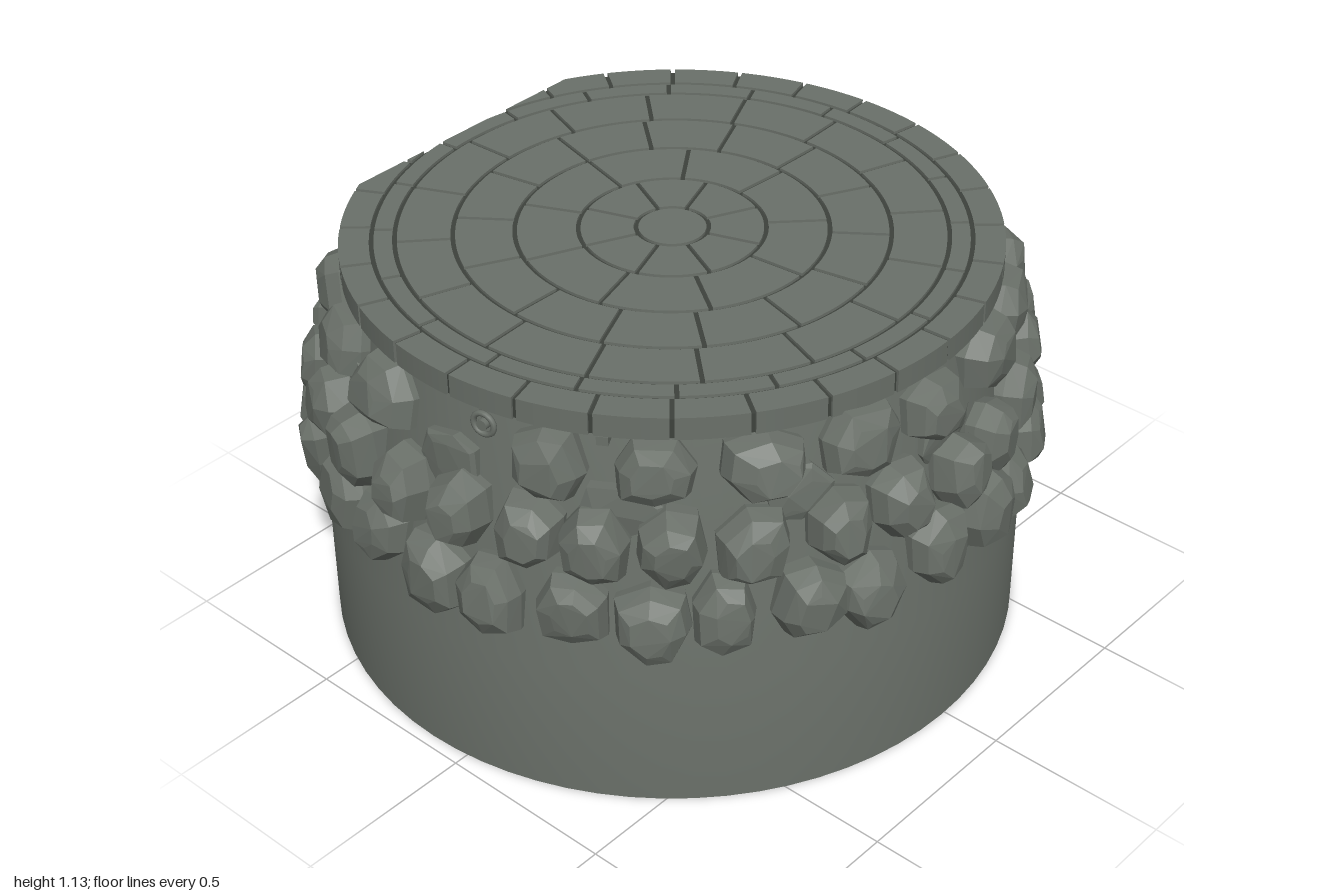
import * as THREE from 'three';
import { toCreasedNormals } from 'three/addons/utils/BufferGeometryUtils.js';
import { ConvexGeometry } from 'three/addons/geometries/ConvexGeometry.js';

const CX = -0.12, CZ = 0.015; // axis of the round platform
const CUT = -0.89;            // flat side plane
const rad = THREE.MathUtils.degToRad;

let seed = 7;
function rnd(a, b) {
  seed = (seed * 16807) % 2147483647;
  return a + (b - a) * (seed / 2147483647);
}

const wallRadius = (y) => 0.95 - 0.185 * Math.max(0, y - 0.4);

// Solid of revolution sliced flat at the cut plane
function slicedLathe(points, segments) {
  const geo = new THREE.LatheGeometry(points.map(([r, y]) => new THREE.Vector2(r, y)), segments);
  geo.translate(CX, 0, CZ);
  const p = geo.attributes.position;
  for (let i = 0; i < p.count; i++) p.setX(i, Math.max(CUT, p.getX(i)));
  return toCreasedNormals(geo, rad(25));
}

// Keep the part of a polygon on the platform side of the cut plane
function clipPolygon(points) {
  const limit = CUT - CX, out = [];
  points.forEach((a, i) => {
    const b = points[(i + 1) % points.length];
    if (a.x >= limit) out.push(a);
    if ((a.x >= limit) !== (b.x >= limit)) out.push(a.clone().lerp(b, (limit - a.x) / (b.x - a.x)));
  });
  return out;
}

// Ring-sector paving slab between two radii, spanning angles a0..a1
function pavingGeometry(r0, r1, a0, a1, bottom, top, gap) {
  const pts = [], n = 8, outer = r1 - gap / 2, inner = r0 + gap / 2;
  const arc = (r, from, to, pad) => {
    for (let i = 0; i <= n; i++) {
      const a = THREE.MathUtils.lerp(from + pad, to - pad, i / n);
      pts.push(new THREE.Vector2(r * Math.cos(a), r * Math.sin(a)));
    }
  };
  arc(outer, a0, a1, gap / 2 / outer);
  arc(inner, a1, a0, -gap / 2 / inner);
  const clipped = clipPolygon(pts);
  if (clipped.length < 3) return null;
  const geo = new THREE.ExtrudeGeometry(new THREE.Shape(clipped), { depth: top - bottom, bevelEnabled: false });
  return geo.rotateX(-Math.PI / 2).translate(CX, bottom, CZ);
}

// Faceted boulder half set into the wall
function stoneGeometry(angle, y, w, h, depth) {
  const frame = new THREE.Matrix4()
    .makeRotationFromEuler(new THREE.Euler(rnd(-0.18, 0.08), angle, rnd(-0.14, 0.14), 'YXZ'));
  const r = wallRadius(y);
  frame.setPosition(CX + r * Math.sin(angle), y, CZ + r * Math.cos(angle));
  const sides = 7, turn = rnd(0, 1), outline = [];
  for (let i = 0; i < sides; i++) {
    const a = (i + turn + rnd(-0.15, 0.15)) / sides * Math.PI * 2;
    const c = Math.cos(a), s = Math.sin(a);
    const k = rnd(0.92, 1.04) / Math.pow(c ** 4 + s ** 4, 0.2);
    outline.push([c * k * w / 2, s * k * h / 2]);
  }
  const pts = [];
  for (const [d, s] of [[-0.09, 0.85], [0.015, 1], [depth * 0.7, 0.86], [depth, 0.52]]) {
    const shift = s < 0.6 ? 1 : 0; // off-centre front facet
    const dx = shift * rnd(-0.08, 0.08) * w, dy = shift * rnd(-0.06, 0.06) * h;
    for (const [x, v] of outline) {
      const p = new THREE.Vector3(x * s + dx, v * s + dy, d + rnd(-0.006, 0.006)).applyMatrix4(frame);
      p.x = Math.max(CUT, p.x);
      pts.push(p);
    }
  }
  return new ConvexGeometry(pts);
}

// Stone courses: evenly stepped in degrees; skip leaves one place bare
const COURSES = [
  { name: 'lowerStone', start: -58, step: 12, count: 25, y: 0.59, h: 0.22, depth: 0.088, fill: 0.93 },
  { name: 'middleStone', start: -55.5, step: 12.3, count: 24, y: 0.77, h: 0.22, depth: 0.1, fill: 0.93 },
  { name: 'upperStone', start: -63, step: 17, count: 18, y: 0.96, h: 0.19, depth: 0.09, fill: 0.85, skip: 4 },
  { name: 'recessedStone', start: -56, step: 29.5, count: 11, y: 0.88, h: 0.15, depth: 0.025, fill: 0.43 },
];

// Paving rings: inner radius, outer radius, slab count, starting angle
const RINGS = [
  [0.095, 0.245, 8, 0.35], [0.245, 0.41, 9, 0.1], [0.41, 0.57, 14, 0.2],
  [0.57, 0.72, 16, 0.05], [0.72, 0.78, 20, 0.12], [0.78, 0.871, 28, 0.06],
];

export function createModel() {
  const model = new THREE.Group();
  model.name = 'stonePlatform';
  const stone = new THREE.MeshStandardMaterial({ color: 0x6a7069 });
  stone.name = 'greyStone';
  const joint = new THREE.MeshStandardMaterial({ color: 0x3d423c });
  joint.name = 'darkJoint';
  const add = (parent, name, geo, mat) => {
    const mesh = new THREE.Mesh(geo, mat);
    mesh.name = name;
    parent.add(mesh);
    return mesh;
  };
  const group = (name) => {
    const g = new THREE.Group();
    g.name = name;
    model.add(g);
    return g;
  };

  // Plain drum below, tapering wall above
  add(model, 'drumWall', slicedLathe(
    [[0, 0], [0.95, 0], [0.95, 0.4], [wallRadius(1.08), 1.08], [0, 1.08]], 72), stone);

  // Boulders in staggered courses
  const boulders = group('boulders');
  for (const { name, start, step, count, y, h, depth, fill, skip } of COURSES) {
    for (let i = 0; i < count; i++) {
      const a = rad(start + i * step + rnd(-1.5, 1.5));
      const cy = y + rnd(-0.02, 0.02);
      const w = rad(step) * wallRadius(y) * fill * rnd(0.9, 1.12);
      if (i === skip || CX + wallRadius(cy) * Math.sin(a) < CUT - 0.02) continue;
      add(boulders, name, stoneGeometry(a, cy, w, h * rnd(0.93, 1.08), depth * rnd(0.88, 1.08)), stone);
    }
  }

  // Dark bed that shows in the joints between the paving slabs
  add(model, 'pavingBed', slicedLathe(
    [[0, 1.07], [0.858, 1.07], [0.858, 1.124], [0, 1.124]], 96), joint);

  // Paving in concentric rings around a round centre slab
  const paving = group('paving');
  const centre = new THREE.CylinderGeometry(0.089, 0.089, 0.03, 32);
  add(paving, 'centreSlab', centre.translate(CX, 1.117, CZ), stone);
  for (const [r0, r1, count, start] of RINGS) {
    const rim = r1 > 0.8;
    const sweep = Math.PI * 2 / count;
    for (let i = 0; i < count; i++) {
      const a = start + i * sweep;
      const geo = pavingGeometry(r0, r1, a, a + sweep, rim ? 1.069 : 1.1, 1.132, 0.012);
      if (geo) add(paving, rim ? 'rimSlab' : 'pavingSlab', geo, stone);
    }
  }

  // Small rings and pegs under the rim
  const fittings = group('wallFittings');
  const mount = (name, geo, deg, y, r) => {
    const mesh = add(fittings, name, geo, stone);
    mesh.position.set(CX + r * Math.sin(rad(deg)), y, CZ + r * Math.cos(rad(deg)));
    mesh.rotation.y = rad(deg);
  };
  for (const deg of [10, 132]) {
    mount('wallRing', new THREE.TorusGeometry(0.03, 0.008, 8, 20), deg, 1.02, 0.855);
    mount('ringBoss', new THREE.CylinderGeometry(0.015, 0.015, 0.06, 12).rotateX(Math.PI / 2), deg, 1.02, 0.835);
  }
  for (const deg of [31, 152]) mount('wallPeg', new THREE.BoxGeometry(0.03, 0.025, 0.05), deg, 1.055, 0.84);

  return model;
}
